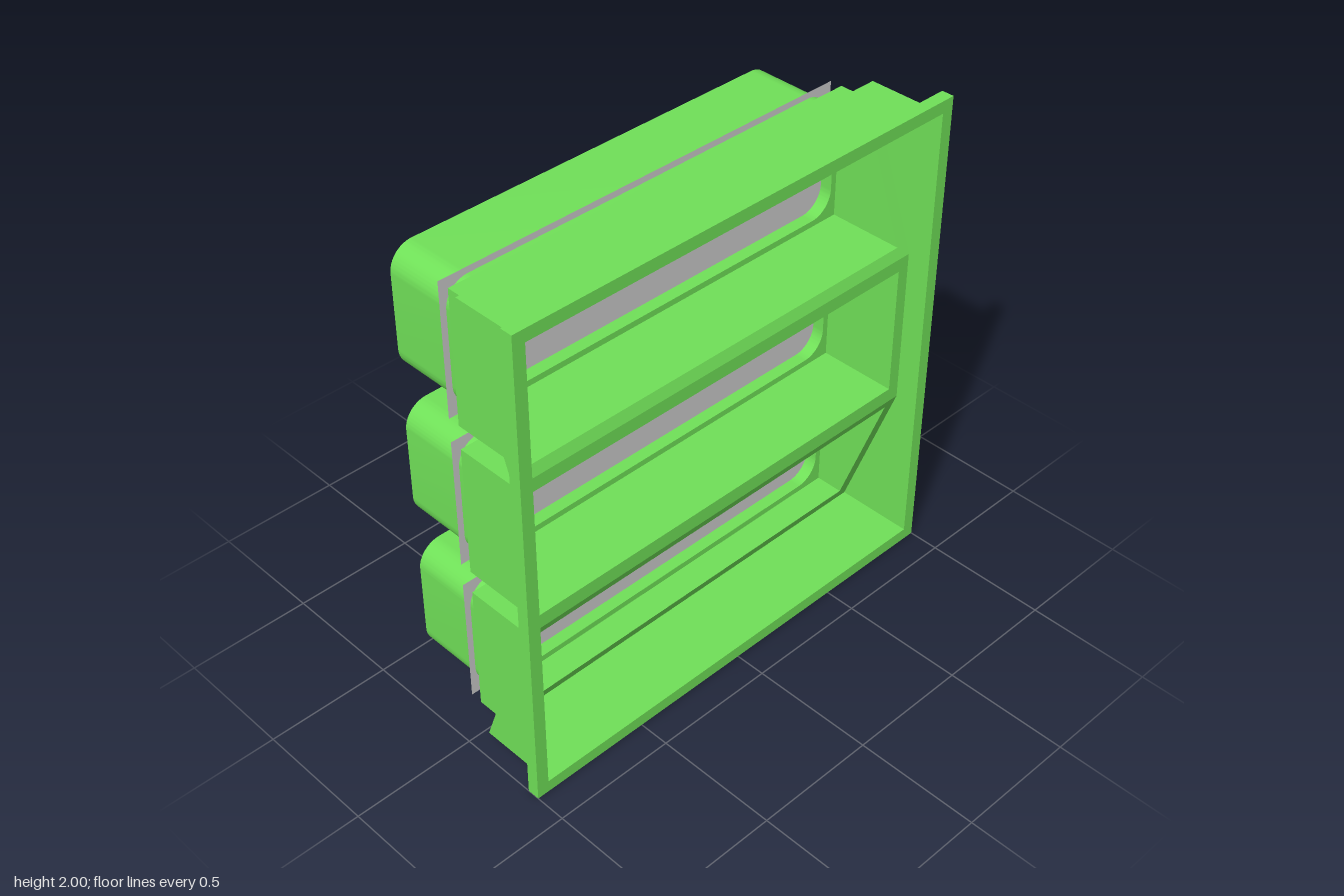
import * as THREE from 'three';
import { toCreasedNormals } from 'three/addons/utils/BufferGeometryUtils.js';

const FOLD = 0.327; // half height of the flat middle band of the panel
const MID = 1;      // centre height
const BACK = -0.045; // back of the three bays

// Depth of the folded panel at a given height
const panelZ = (y) => 0.28 - Math.max(0, Math.abs(y - MID) - FOLD) * 0.361;

// Rectangle with optional rounded corners, drawn counter-clockwise
function rect(path, hx, y0, y1, r = 0) {
  if (!r) {
    path.moveTo(-hx, y0).lineTo(hx, y0).lineTo(hx, y1).lineTo(-hx, y1).closePath();
    return path;
  }
  path.moveTo(-hx + r, y0).lineTo(hx - r, y0);
  path.absarc(hx - r, y0 + r, r, -Math.PI / 2, 0);
  path.absarc(hx - r, y1 - r, r, 0, Math.PI / 2);
  path.absarc(-hx + r, y1 - r, r, Math.PI / 2, Math.PI);
  path.absarc(-hx + r, y0 + r, r, Math.PI, Math.PI * 1.5);
  path.closePath();
  return path;
}

function holed(hx, y0, y1, hole) {
  const s = rect(new THREE.Shape(), hx, y0, y1);
  s.holes.push(rect(new THREE.Path(), ...hole));
  return s;
}

// Open thin wall that follows an outline from one depth rule to another
function sleeve(points, zFront, zBack) {
  const pos = [];
  points.forEach((a, i) => {
    const b = points[(i + 1) % points.length];
    if (a.distanceTo(b) < 1e-5) return;
    const af = [a.x, a.y, zFront(a.y)], ab = [a.x, a.y, zBack(a.y)];
    const bf = [b.x, b.y, zFront(b.y)], bb = [b.x, b.y, zBack(b.y)];
    pos.push(...af, ...ab, ...bb, ...af, ...bb, ...bf);
  });
  const g = new THREE.BufferGeometry();
  g.setAttribute('position', new THREE.Float32BufferAttribute(pos, 3));
  return toCreasedNormals(g, 0.6);
}

export function createModel() {
  const model = new THREE.Group();
  const green = new THREE.MeshStandardMaterial({ color: 0x70e058, side: THREE.DoubleSide });
  const grey = new THREE.MeshStandardMaterial({ color: 0xcccccc, side: THREE.DoubleSide });

  const add = (name, geometry, material = green) => {
    const mesh = new THREE.Mesh(geometry, material);
    mesh.name = name;
    model.add(mesh);
    return mesh;
  };

  // Front flange
  const flange = new THREE.ExtrudeGeometry(holed(1, 0, 2, [0.95, 0.05, 1.95]), {
    depth: 0.05, bevelEnabled: false,
  });
  add('frontFlange', flange).position.z = 0.325;

  // Housing wall, with extra points where the panel folds
  const lo = MID - FOLD, hi = MID + FOLD;
  const outline = [
    [-0.95, 0.05], [0.95, 0.05], [0.95, lo], [0.95, hi],
    [0.95, 1.95], [-0.95, 1.95], [-0.95, hi], [-0.95, lo],
  ].map(([x, y]) => new THREE.Vector2(x, y));
  add('housingWall', sleeve(outline, () => 0.325, panelZ));

  // Three bays: panel band, box, rear rim, duct and closing plate
  const bays = [
    { name: 'lower', y: 0.366, band: [0.05, lo] },
    { name: 'middle', y: 1.002, band: [lo, hi] },
    { name: 'upper', y: 1.64, band: [hi, 1.95] },
  ];
  for (const { name, y, band } of bays) {
    const box = [0.9, y - 0.27, y + 0.27];
    const duct = [0.875, y - 0.245, y + 0.245, 0.095];

    const panel = new THREE.ShapeGeometry(holed(0.95, ...band, box));
    const p = panel.attributes.position;
    for (let i = 0; i < p.count; i++) p.setZ(i, panelZ(p.getY(i)));
    panel.computeVertexNormals();
    add(name + 'Panel', panel);

    const boxPoints = rect(new THREE.Path(), ...box).getPoints();
    add(name + 'Box', sleeve(boxPoints, panelZ, () => BACK));

    add(name + 'Rim', new THREE.ShapeGeometry(holed(...box, duct), 12)).position.z = BACK;

    const ductPoints = rect(new THREE.Path(), ...duct).getPoints(12);
    add(name + 'Duct', sleeve(ductPoints, () => BACK, () => -0.375));

    add(name + 'Plate', new THREE.PlaneGeometry(1.8, 0.54), grey).position.set(0, y, -0.095);
  }
  return model;
}
